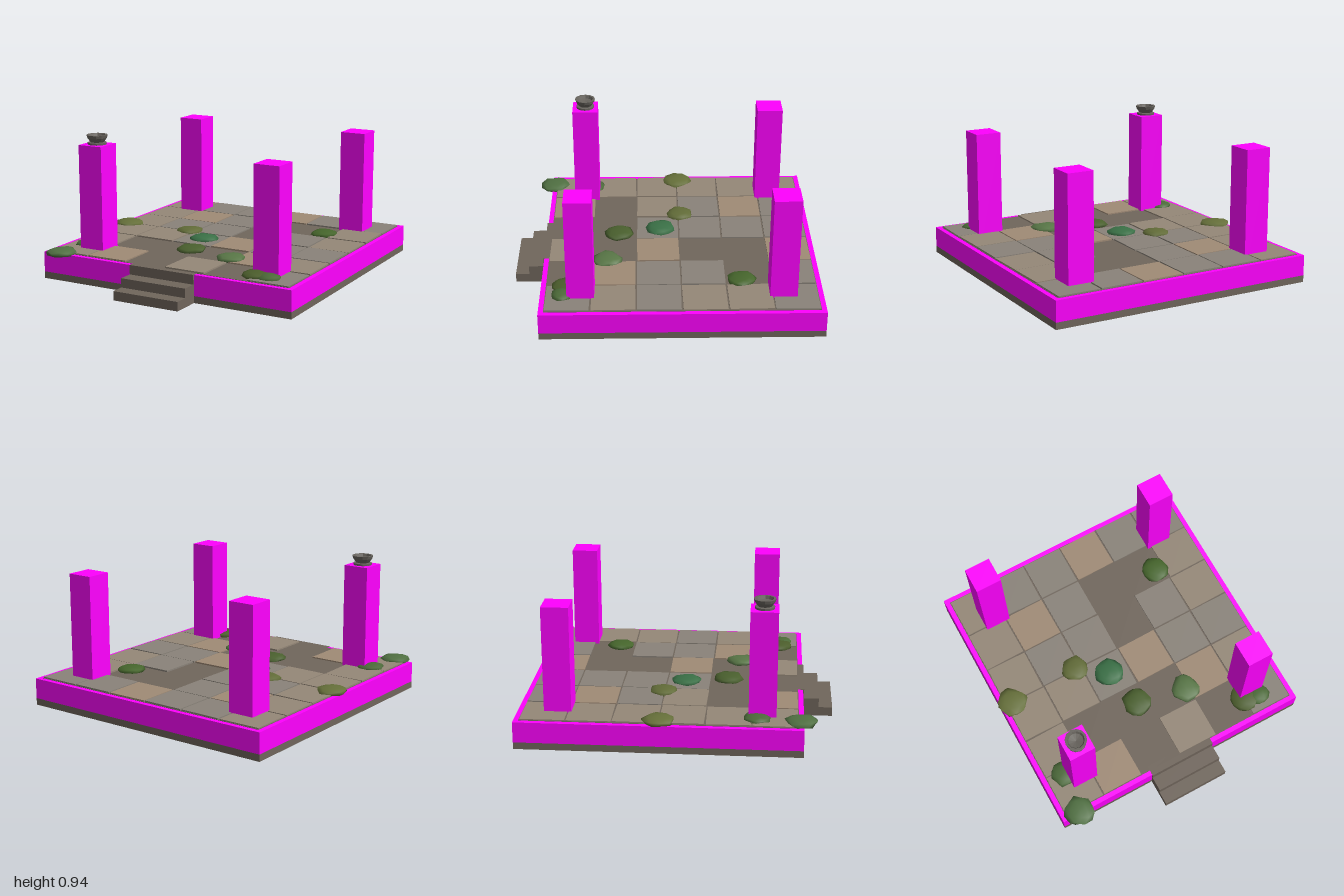
import * as THREE from 'three';
import { mergeVertices } from 'three/addons/utils/BufferGeometryUtils.js';

const material = (color, extra = {}) => new THREE.MeshStandardMaterial({ color, ...extra });

// Small seeded random source
function seeded(seed) {
  return () => {
    seed = (seed * 16807) % 2147483647;
    return seed / 2147483647;
  };
}

export function createModel() {
  const model = new THREE.Group();
  const rand = seeded(4217);
  const magenta = material(0xff00ff);
  const stone = material(0x70665c);
  const greyTile = material(0x8a837a);
  const warmTile = material(0xa08b76);
  const midTile = material(0x958878);
  const bowlStone = material(0x68645e, { side: THREE.DoubleSide });

  function add(name, geometry, mat, x, y, z, parent = model) {
    const mesh = new THREE.Mesh(geometry, mat);
    mesh.name = name;
    mesh.position.set(x, y, z);
    parent.add(mesh);
    return mesh;
  }
  const box = (name, w, h, d, mat, x, bottom, z, parent) =>
    add(name, new THREE.BoxGeometry(w, h, d), mat, x, bottom + h / 2, z, parent);

  // Platform: stone footing, coloured slab and the bed below the tiles
  const cx = 0.01, cz = -0.098;
  box('footing', 1.805, 0.045, 1.805, stone, cx, 0, cz);
  box('platformSlab', 1.805, 0.135, 1.805, magenta, cx, 0.045, cz);
  box('tileBed', 1.74, 0.02, 1.74, stone, cx, 0.162, cz);

  // Paving: G grey, W warm, M mid tone, dot is a missing tile
  const floor = new THREE.Group();
  floor.name = 'floorTiles';
  model.add(floor);
  const layout = ['MGGWGG', 'MWG..M', 'MGG.GM', 'MMGWGG', 'M...WM', 'MW.M.G'];
  const tones = { G: greyTile, W: warmTile, M: midTile };
  layout.forEach((row, r) => [...row].forEach((key, c) => {
    if (key === '.') return;
    const tile = box('tile', 0.28, 0.022, 0.28, tones[key],
      cx + (c - 2.5) * 0.29, 0.167 + rand() * 0.004, cz + (r - 2.5) * 0.29, floor);
    tile.rotation.y = (rand() - 0.5) * 0.04;
  }));

  // Three steps, the top one set into the platform rim
  const steps = new THREE.Group();
  steps.name = 'steps';
  model.add(steps);
  [[0.06, 1.0], [0.12, 0.91], [0.182, 0.812]].forEach(([h, front]) =>
    box('step', 0.465, h, front - 0.74, stone, 0.0125, 0, (front + 0.74) / 2, steps));

  // Four square pillars
  for (const x of [-0.633, 0.652]) {
    for (const z of [-0.743, 0.545]) {
      box('pillar', 0.174, 0.867, 0.174, magenta, x, 0.01, z);
    }
  }

  // Hollow bowl on a round foot, on the front right pillar
  const profile = [
    [0, 0.875], [0.062, 0.875], [0.062, 0.89], [0.045, 0.893], [0.054, 0.905],
    [0.064, 0.92], [0.07, 0.94], [0.055, 0.94], [0.047, 0.922], [0, 0.912],
  ].map(([r, y]) => new THREE.Vector2(r, y));
  const bowl = new THREE.LatheGeometry(profile, 12);
  bowlStone.flatShading = true;
  add('bowl', bowl, bowlStone, -0.633, 0, 0.545);

  // Flattened, irregular shrubs
  function shrubGeometry(r) {
    let geo = new THREE.IcosahedronGeometry(1, 1);
    geo.deleteAttribute('uv');
    geo.deleteAttribute('normal');
    geo = mergeVertices(geo, 1e-3);
    const p = geo.attributes.position;
    for (let i = 0; i < p.count; i++) {
      const k = 0.88 + rand() * 0.24;
      p.setXYZ(i, p.getX(i) * k * r, p.getY(i) * k * 0.029, p.getZ(i) * k * r);
    }
    geo.computeVertexNormals();
    return geo;
  }
  const shrubs = [
    [0.53, -0.49, 0.09, 0x46662c], [-0.81, -0.1, 0.102, 0x66703a],
    [-0.32, -0.11, 0.093, 0x626c38], [-0.13, 0.03, 0.098, 0x3a7046],
    [-0.065, 0.31, 0.096, 0x4a602e], [0.275, 0.385, 0.096, 0x587646],
    [-0.735, 0.51, 0.09, 0x4c6a3a], [-0.765, 0.785, 0.1, 0x507042],
    [0.6, 0.63, 0.1, 0x4c5e2c], [0.69, 0.66, 0.075, 0x4c6a38],
  ];
  for (const [x, z, r, color] of shrubs) {
    const shrub = add('shrub', shrubGeometry(r), material(color), x, 0.189, z);
    shrub.rotation.y = rand() * Math.PI;
  }

  return model;
}
